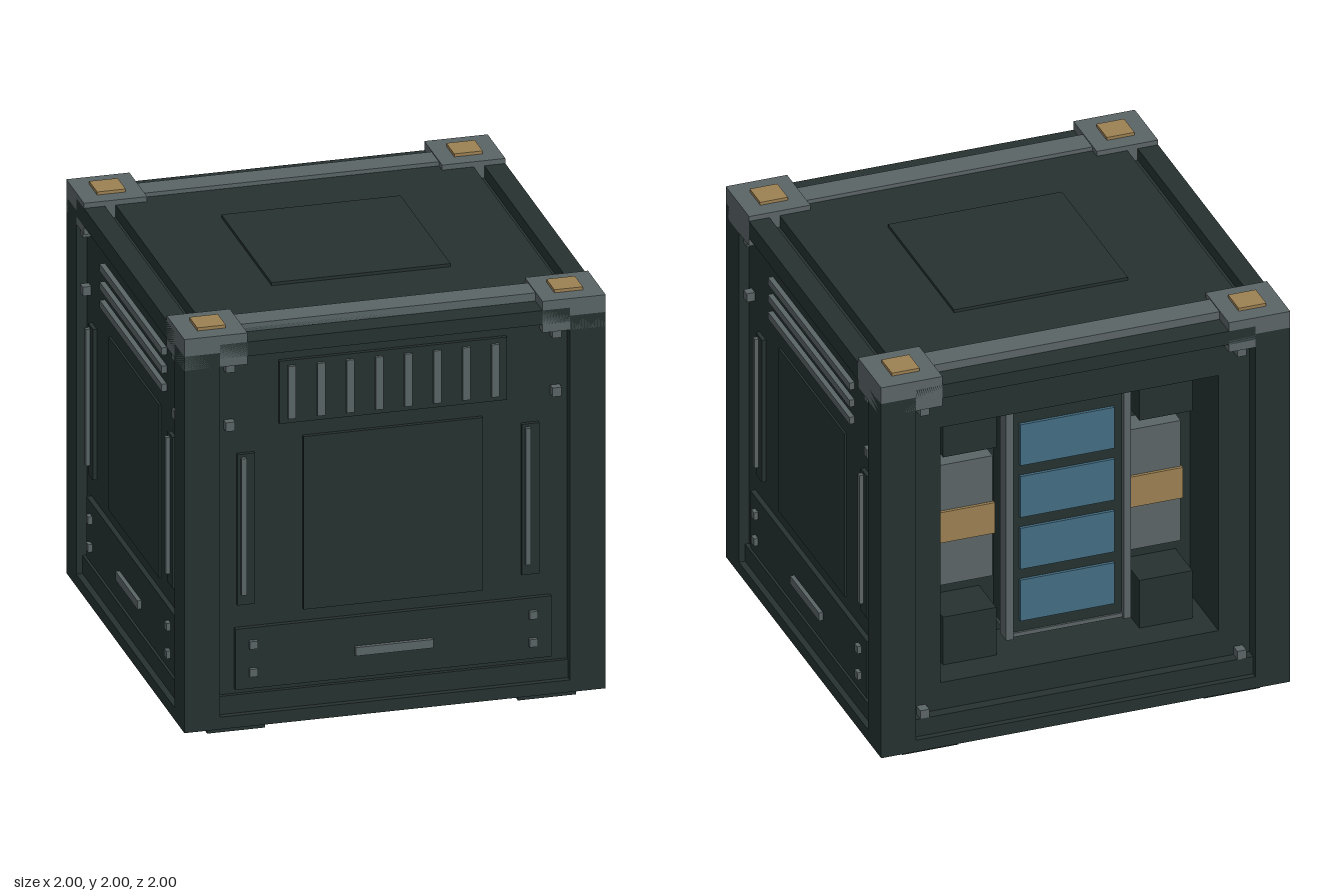
import * as THREE from 'three';

export function createModel() {
  const root = new THREE.Group();
  root.name = 'equipmentCrate';
  const mat = (name, color) => Object.assign(new THREE.MeshStandardMaterial({ color }), { name });
  const dark = mat('dark hull', 0x253130);
  const grey = mat('grey metal', 0x5a6466);
  const amber = mat('amber', 0x9b8052);
  const blue = mat('blue cell', 0x426c82);

  // Box given by its extents on each axis
  function box(parent, name, m, [x0, x1], [y0, y1], [z0, z1]) {
    const mesh = new THREE.Mesh(new THREE.BoxGeometry(x1 - x0, y1 - y0, z1 - z0), m);
    mesh.position.set((x0 + x1) / 2, (y0 + y1) / 2, (z0 + z1) / 2);
    mesh.name = name;
    parent.add(mesh);
    return mesh;
  }
  const around = (c, w) => [c - w / 2, c + w / 2];
  const side = (s, a, b) => (s > 0 ? [a, b] : [-b, -a]);
  const SIGNS = [-1, 1];
  const FACE = 0.95; // recessed face plane

  // Solid hull, with a framed opening at the back
  box(root, 'hull', dark, [-FACE, FACE], [0.06, 1.9], [-0.55, FACE]);
  const wall = new THREE.Shape();
  wall.moveTo(-FACE, 0.06).lineTo(FACE, 0.06).lineTo(FACE, 1.9).lineTo(-FACE, 1.9).closePath();
  const hole = new THREE.Path();
  hole.moveTo(-0.68, 0.33).lineTo(-0.68, 1.67).lineTo(0.68, 1.67).lineTo(0.68, 0.33).closePath();
  wall.holes.push(hole);
  const bay = new THREE.Mesh(new THREE.ExtrudeGeometry(wall, { depth: 0.37, bevelEnabled: false }), dark);
  bay.position.z = -0.92;
  bay.name = 'bayFrame';
  root.add(bay);

  // Posts, corner caps and locating pads
  for (const sx of SIGNS) for (const sz of SIGNS) {
    box(root, 'cornerPost', dark, side(sx, 0.83, 1), [0.04, 1.9], side(sz, 0.83, 1));
    box(root, 'cornerCap', grey, side(sx, 0.7, 1), [1.83, 1.985], side(sz, 0.7, 1));
    box(root, 'cornerPad', amber, side(sx, 0.78, 0.915), [1.985, 2], side(sz, 0.78, 0.915));
  }

  // Beams, top rails and skids
  for (const s of SIGNS) {
    box(root, 'topSideBeam', dark, side(s, 0.9, 1), [1.87, 1.96], [-0.83, 0.83]);
    box(root, 'topCrossBeam', dark, [-0.83, 0.83], [1.87, 1.94], side(s, 0.88, 1));
    box(root, 'topRail', grey, [-0.71, 0.71], [1.89, 1.98], side(s, 0.755, 0.88));
    box(root, 'skid', dark, side(s, 0.6, 0.875), [0, 0.05], [-0.94, 0.94]);
  }
  box(root, 'topPanel', dark, [-0.85, 0.85], [1.88, 1.96], [-0.88, 0.88]);
  box(root, 'topHatch', dark, [-0.425, 0.425], [1.95, 1.975], [-0.425, 0.425]);
  box(root, 'floor', dark, [-1, 1], [0.04, 0.1], [-1, 1]);
  box(root, 'bottomHatch', dark, [-0.425, 0.425], [0.028, 0.05], [-0.425, 0.425]);

  // One face, built facing +z and then turned into place
  function makeFace(name, angle) {
    const g = new THREE.Group();
    g.name = name;
    g.rotation.y = angle;
    root.add(g);
    box(g, 'sill', dark, [-0.83, 0.83], [0.1, 0.19], [0.9, 0.97]);
    return g;
  }
  function bolts(g, xs, ys, size, z) {
    for (const x of xs) for (const y of ys)
      box(g, 'bolt', grey, around(x, size), around(y, size), [z - 0.02, z + 0.03]);
  }
  function dressFace(g, handles, hatchDepth) {
    box(g, 'hatch', dark, [-0.425, 0.425], [0.575, 1.43], [0.93, FACE + hatchDepth]);
    // Grab bars on backing strips
    for (const x of handles) {
      box(g, 'gripPlate', dark, around(x, 0.082), [0.63, 1.375], [0.93, 0.97]);
      box(g, 'gripBar', grey, around(x - 0.015, 0.024), [0.685, 1.36], [0.96, 0.99]);
    }
    // Lower drawer
    box(g, 'drawer', dark, [-0.75, 0.75], [0.215, 0.515], [0.93, 0.975]);
    box(g, 'drawerHandle', grey, [-0.185, 0.185], [0.328, 0.37], [0.96, 0.995]);
    bolts(g, [-0.668, 0.66], [0.435, 0.298], 0.038, 0.965);
    bolts(g, [-0.778, 0.772], [1.525, 1.815], 0.044, 0.96);
  }

  const front = makeFace('frontFace', 0);
  dressFace(front, [-0.698, 0.652], 0.02);
  box(front, 'ventPlate', dark, [-0.54, 0.54], [1.505, 1.815], [0.93, 0.97]);
  for (let i = 0; i < 8; i++)
    box(front, 'ventSlat', grey, around(-0.483 + i * 0.138, 0.036), [1.53, 1.79], [0.96, 0.985]);

  for (const s of SIGNS) {
    const g = makeFace(s > 0 ? 'leftFace' : 'rightFace', s * Math.PI / 2);
    dressFace(g, s > 0 ? [-0.652, 0.698] : [-0.698, 0.652], 0.01);
    for (const y of [1.555, 1.645, 1.735])
      box(g, 'louvre', grey, [-0.525, 0.525], around(y, 0.036), [0.93, 0.975]);
  }

  const back = makeFace('backFace', Math.PI);
  bolts(back, [-0.775, 0.775], [0.21, 1.8], 0.044, 0.94);

  // Equipment inside the back bay
  box(back, 'rackCore', dark, [-0.28, 0.28], [0.42, 1.58], [0.54, 0.75]);
  for (const y of [0.41, 1.59])
    box(back, 'rackEnd', grey, [-0.28, 0.28], around(y, 0.02), [0.54, 0.76]);
  for (let i = 0; i < 4; i++)
    box(back, 'cell', blue, [-0.23, 0.23], around(0.588 + i * 0.272, 0.215), [0.74, 0.765]);
  for (const s of SIGNS) {
    box(back, 'rackRail', grey, side(s, 0.27, 0.305), [0.4, 1.6], [0.7, 0.78]);
    box(back, 'powerUnit', grey, side(s, 0.33, 0.59), [0.69, 1.32], [0.54, 0.67]);
    box(back, 'powerBand', amber, side(s, 0.325, 0.595), [0.92, 1.08], [0.54, 0.685]);
    box(back, 'lowerBlock', dark, side(s, 0.35, 0.61), [0.32, 0.58], [0.54, 0.77]);
    box(back, 'upperBlock', dark, side(s, 0.35, 0.61), [1.42, 1.68], [0.54, 0.77]);
  }
  return root;
}
